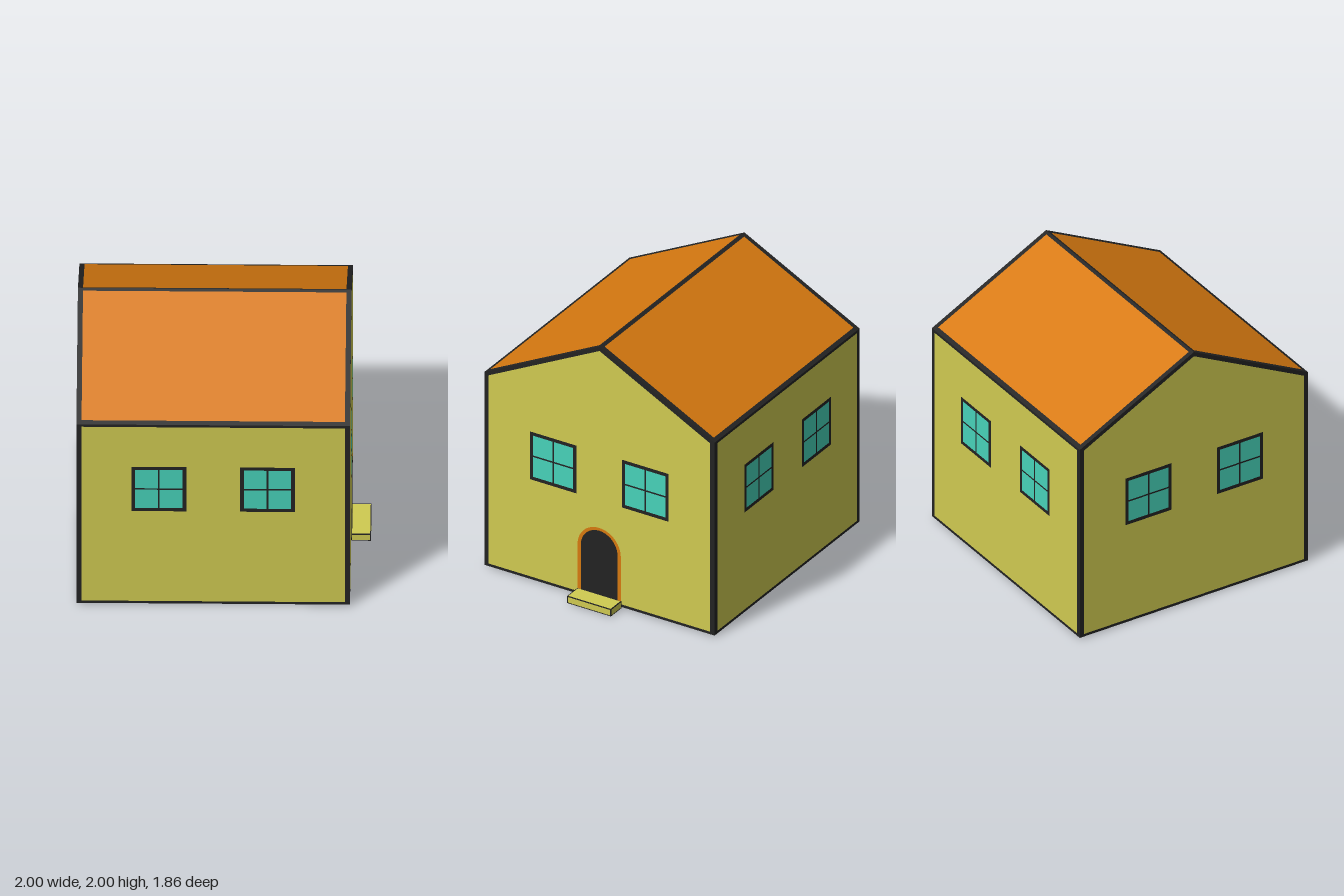
import * as THREE from 'three';

const mat = (name, color, side = THREE.FrontSide) => {
  const m = new THREE.MeshStandardMaterial({ color, side });
  m.name = name;
  return m;
};

// House extents
const X0 = -1, X1 = 0.865, CX = (X0 + X1) / 2, W = X1 - X0;
const D = 0.925, BASE = 0.01, EAVE = 1.52, RIDGE = 1.995, THICK = 0.02;

const v = (x, y) => new THREE.Vector2(x, y);
const rect = (x0, y0, x1, y1) => [v(x0, y0), v(x1, y0), v(x1, y1), v(x0, y1)];

// Moves each edge of a convex counter-clockwise outline inward by its own distance
function inset(pts, dist) {
  const n = pts.length;
  const lines = pts.map((p, i) => {
    const d = pts[(i + 1) % n].clone().sub(p).normalize();
    return { p: v(p.x - d.y * dist[i], p.y + d.x * dist[i]), d };
  });
  return lines.map((b, i) => {
    const a = lines[(i + n - 1) % n];
    const w = b.p.clone().sub(a.p);
    const t = w.cross(b.d) / a.d.cross(b.d);
    return a.p.clone().addScaledVector(a.d, t);
  });
}

function flat(name, outer, material, holes = []) {
  const shape = new THREE.Shape(outer);
  holes.forEach((h) => shape.holes.push(new THREE.Path(h)));
  const mesh = new THREE.Mesh(new THREE.ShapeGeometry(shape), material);
  mesh.name = name;
  return mesh;
}

// Flat face with a dark outline, lying in XY and facing +z
function panel(name, pts, dist, fill, line) {
  const g = new THREE.Group();
  g.name = name;
  const inner = inset(pts, dist);
  g.add(flat(name + 'Outline', pts, line, [inner]), flat(name + 'Fill', inner, fill));
  return g;
}

function place(obj, x, y, z, ry = 0, rx = 0) {
  obj.rotation.set(rx, ry, 0, 'YXZ');
  obj.position.set(x, y, z);
  return obj;
}

export function createModel() {
  const yellow = mat('wallYellow', 0xd0cb51);
  const orange = mat('roofOrange', 0xd87a10, THREE.DoubleSide);
  const teal = mat('glassTeal', 0x47d3ba);
  const black = mat('outlineBlack', 0x232323, THREE.DoubleSide);
  const house = new THREE.Group();
  house.name = 'house';

  // Window: four panes with a frame and cross bars
  const windowAt = (x) => {
    const g = new THREE.Group();
    g.name = 'window';
    const r = 0.187, f = 0.161, b = 0.006;
    const panes = [rect(-f, -f, -b, -b), rect(b, -f, f, -b), rect(-f, b, -b, f), rect(b, b, f, f)];
    g.add(flat('windowFrame', rect(-r, -r, r, r), black, panes));
    panes.forEach((p) => g.add(flat('windowPane', p, teal)));
    return place(g, x, 0.98, 0.004);
  };

  // Outer and inner walls
  const wall = (half, gable) => gable
    ? [v(-half, BASE), v(half, BASE), v(half, EAVE), v(0, RIDGE - (D - half) * 0.5), v(-half, EAVE)]
    : rect(-half, BASE, half, EAVE);
  const sides = [
    ['front', CX, D, 0, false], ['right', X1, 0, Math.PI / 2, true],
    ['back', CX, -D, Math.PI, false], ['left', X0, 0, -Math.PI / 2, true],
  ];
  for (const [name, x, z, ry, gable] of sides) {
    const half = gable ? D : W / 2;
    const dist = gable ? [0.02, 0.035, 0.03, 0.03, 0.035] : [0.02, 0.035, 0.02, 0.035];
    const outer = panel(name + 'Wall', wall(half, gable), dist, yellow, black);
    outer.add(windowAt(-0.37), windowAt(0.37));
    house.add(place(outer, x, 0, z, ry));
    const inner = panel(name + 'InnerWall', wall(half - THICK, gable), dist.map((d) => d * 0.5), yellow, black);
    house.add(place(inner, x - Math.sin(ry) * THICK, 0, z - Math.cos(ry) * THICK, ry + Math.PI));
  }

  // Open underside: thin rim between inner and outer walls
  const ring = (t) => rect(-W / 2 + t, -D + t, W / 2 - t, D - t);
  [[0, 0.006, black], [0.006, 0.014, yellow], [0.014, THICK, black]].forEach(([a, b, m]) =>
    house.add(place(flat('bottomRim', ring(a), m, [ring(b)]), CX, BASE, 0, 0, Math.PI / 2)));

  // Roof slopes
  const slope = Math.atan2(RIDGE - EAVE, D), len = Math.hypot(RIDGE - EAVE, D);
  for (const s of [1, -1]) {
    const roof = panel('roofSlope', rect(-W / 2, 0, W / 2, len), [0.032, 0.035, 0.022, 0.035], orange, black);
    house.add(place(roof, CX, EAVE, s * D, s > 0 ? 0 : Math.PI, slope - Math.PI / 2));
  }

  // Arched door with its trim
  const arch = (r, top) => {
    const p = [v(-r, BASE), v(r, BASE)];
    for (let i = 0; i <= 24; i++) {
      const a = (i / 24) * Math.PI;
      p.push(v(r * Math.cos(a), 0.4 + (top - 0.4) * Math.sin(a)));
    }
    return p;
  };
  const door = new THREE.Group();
  door.name = 'door';
  door.add(flat('doorTrim', arch(0.174, 0.578), orange, [arch(0.148, 0.556)]),
    flat('doorOpening', arch(0.148, 0.556), black));
  house.add(place(door, X1 + 0.004, 0, 0, Math.PI / 2));

  // Doorstep: outlined box
  const step = new THREE.Group();
  step.name = 'doorstep';
  const sx = (1 - X1) / 2, sy = 0.0275, sz = 0.176;
  const H = Math.PI / 2;
  const faces = [
    [sx, sy, 0, 0, sz, 0, 0], [sx, sy, 0, 0, -sz, Math.PI, 0],
    [sz, sy, sx, 0, 0, H, 0], [sz, sy, -sx, 0, 0, -H, 0],
    [sx, sz, 0, sy, 0, 0, -H], [sx, sz, 0, -sy, 0, 0, H],
  ];
  for (const [a, b, x, y, z, ry, rx] of faces) {
    step.add(place(panel('stepFace', rect(-a, -b, a, b), [0.006, 0.006, 0.006, 0.006], yellow, black), x, y, z, ry, rx));
  }
  house.add(place(step, X1 + sx, sy, 0));

  return house;
}
